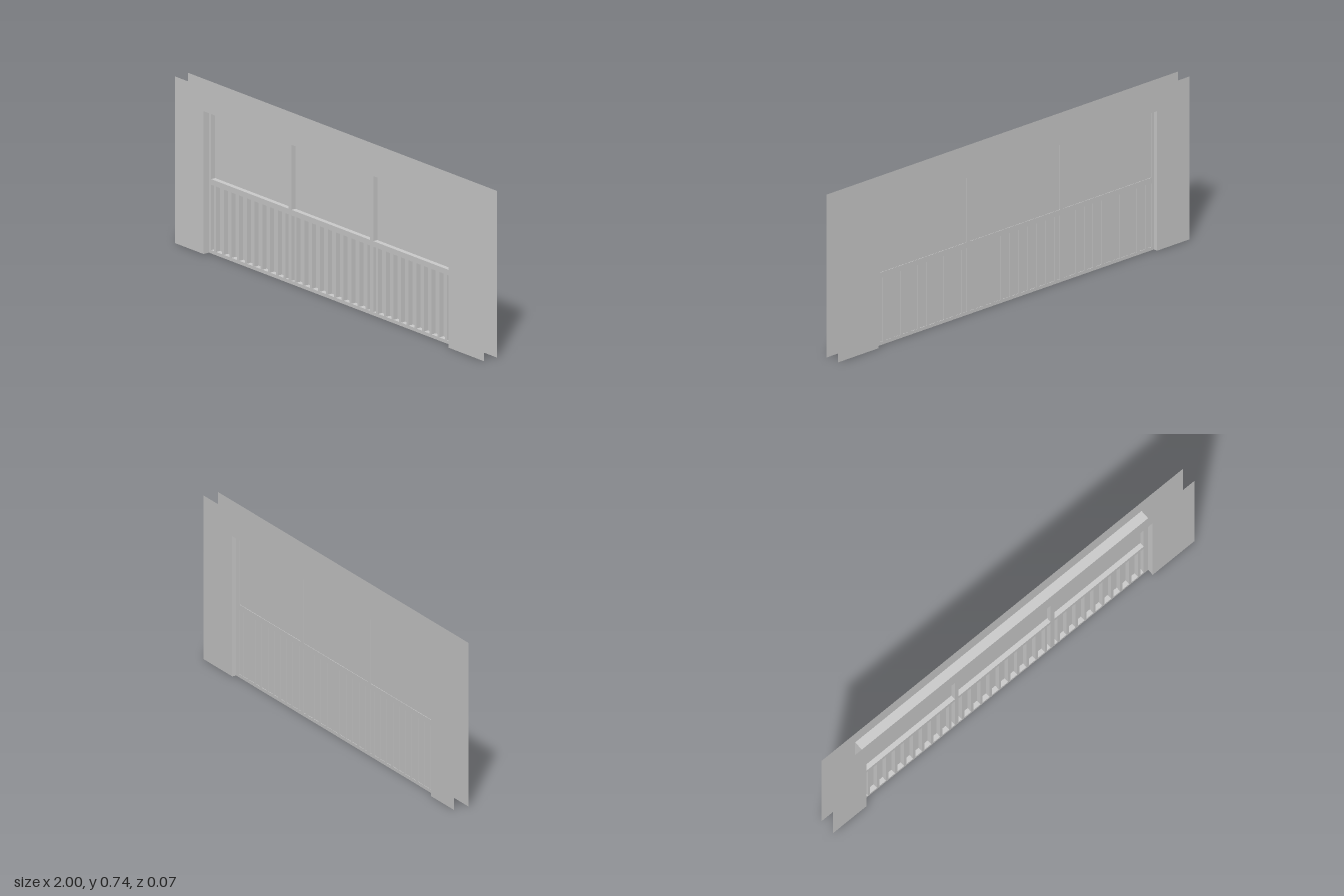
import * as THREE from 'three';

const L = -0.815, R = 0.77, TOP = 0.634; // opening in the wall
const HALF = 0.036; // half the wall depth
const FRONT = 0.007, BACK = -0.017; // faces of the window frame
const BAYS = [[-0.8, -0.3], [-0.28, 0.23], [0.25, 0.745]];
const BARS = 10; // bars in the lower part of each bay

function createMaterial(side = THREE.FrontSide) {
  return new THREE.MeshStandardMaterial({ color: 0xcccccc, side, flatShading: true });
}

function rectHole(x0, x1, y0, y1) {
  return new THREE.Path().moveTo(x0, y0).lineTo(x0, y1).lineTo(x1, y1).lineTo(x1, y0).closePath();
}

function rectShape(x0, x1, y0, y1) {
  return new THREE.Shape().moveTo(x0, y0).lineTo(x1, y0).lineTo(x1, y1).lineTo(x0, y1).closePath();
}

export function createModel() {
  const group = new THREE.Group();
  const solid = createMaterial();
  const sheet = createMaterial(THREE.DoubleSide);

  const add = (name, geometry, material, x = 0, y = 0, z = 0) => {
    const mesh = new THREE.Mesh(geometry, material);
    mesh.name = name;
    mesh.position.set(x, y, z);
    group.add(mesh);
    return mesh;
  };

  // Wall: two thin sheets, cut away around the opening
  const wall = new THREE.Shape();
  [[-1, 0], [L, 0], [L, TOP], [R, TOP], [R, 0], [1, 0], [1, 0.74], [-1, 0.74]]
    .forEach(([x, y], i) => (i ? wall.lineTo(x, y) : wall.moveTo(x, y)));
  wall.closePath();
  const wallGeometry = new THREE.ShapeGeometry(wall);
  add('wallFront', wallGeometry, sheet, 0, 0, HALF);
  add('wallBack', wallGeometry, sheet, 0, 0, -HALF).rotation.y = 0;

  // Lining of the opening: two sides and the head
  for (const [name, x] of [['liningRight', L], ['liningLeft', R]]) {
    add(name, new THREE.PlaneGeometry(2 * HALF, TOP), sheet, x, TOP / 2, 0).rotation.y = Math.PI / 2;
  }
  add('liningTop', new THREE.PlaneGeometry(R - L, 2 * HALF), sheet, (L + R) / 2, TOP, 0).rotation.x = Math.PI / 2;

  // Window frame: one slab with tall openings above and narrow barred ones below
  const frame = rectShape(L, R, 0, TOP);
  for (const [x0, x1] of BAYS) {
    frame.holes.push(rectHole(x0, x1, 0.33, 0.625));
    const pitch = (x1 - x0) / BARS;
    const halfBar = 0.0065;
    for (let i = 0; i <= BARS; i++) {
      const a = i === 0 ? x0 : x0 + (i - 0.5) * pitch + halfBar;
      const b = i === BARS ? x1 : x0 + (i + 0.5) * pitch - halfBar;
      frame.holes.push(rectHole(a, b, 0.015, 0.305));
    }
  }
  const frameGeometry = new THREE.ExtrudeGeometry(frame, { depth: FRONT - BACK, bevelEnabled: false });
  add('windowFrame', frameGeometry, solid, 0, 0, BACK);

  // Panes close each bay just inside the back of the frame
  for (const [x0, x1] of BAYS) {
    for (const [name, y0, y1] of [['upperPane', 0.33, 0.625], ['lowerPane', 0.015, 0.305]]) {
      add(name, new THREE.PlaneGeometry(x1 - x0, y1 - y0), sheet, (x0 + x1) / 2, (y0 + y1) / 2, BACK + 0.002);
    }
  }
  return group;
}
